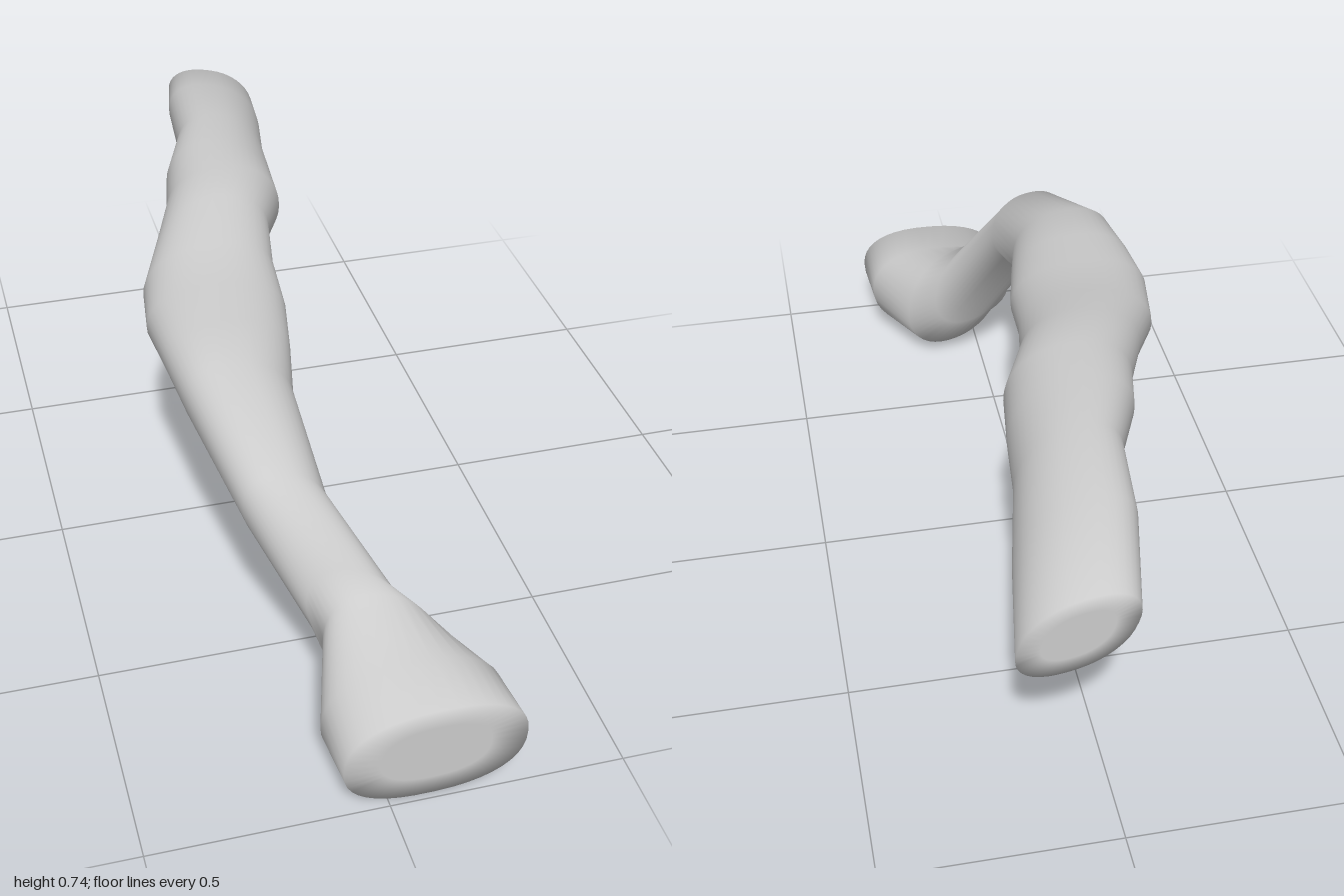
import * as THREE from 'three';

// Cross-sections from front to back: z, left x, right x, bottom y, top y, lean, squareness
const SECTIONS = [
  [1.00, -0.10, 0.28, 0.022, 0.25, 0.08, 0.84],
  [0.87, -0.11, 0.27, 0.005, 0.26, 0.05, 0.9],
  [0.74, -0.07, 0.19, 0.035, 0.335, -0.35, 0.95],
  [0.70, -0.095, 0.12, 0.12, 0.38, -0.4, 0.95],
  [0.60, -0.20, -0.02, 0.375, 0.565, -0.25, 0.9],
  [0.34, -0.26, -0.025, 0.47, 0.66, -0.2, 0.88],
  [0.20, -0.275, 0.005, 0.50, 0.675, -0.12, 0.9],
  [0.07, -0.285, 0.03, 0.50, 0.685, -0.05, 0.92],
  [-0.07, -0.265, 0.038, 0.505, 0.70, 0.1, 0.92],
  [-0.20, -0.205, 0.06, 0.53, 0.742, 0.05, 0.92],
  [-0.33, -0.155, 0.12, 0.522, 0.748, -0.1, 0.92],
  [-0.45, -0.13, 0.135, 0.512, 0.75, -0.2, 0.92],
  [-0.60, -0.07, 0.15, 0.53, 0.747, -0.3, 0.92],
  [-0.80, -0.05, 0.19, 0.52, 0.732, -0.4, 0.92],
  [-1.00, -0.01, 0.222, 0.495, 0.678, -0.45, 0.92],
];
const SIDES = 40;

const soft = (v, power) => Math.sign(v) * Math.abs(v) ** power;

// One leaning, slightly squared oval ring
function ring([z, x0, x1, y0, y1, lean, power], scale = 1) {
  const points = [];
  for (let j = 0; j < SIDES; j++) {
    const t = (j / SIDES) * Math.PI * 2;
    points.push(
      (x0 + x1) / 2 + scale * (x1 - x0) / 2 * soft(Math.cos(t), power),
      (y0 + y1) / 2 + scale * (y1 - y0) / 2 * soft(Math.sin(t + lean), power),
      z
    );
  }
  return points;
}

// Skin the rings, closing both ends with shrinking rings
function loft(sections) {
  const first = sections[0], last = sections[sections.length - 1];
  const rings = [
    ring(first, 0.001), ring(first, 0.6),
    ...sections.map((s) => ring(s)),
    ring(last, 0.6), ring(last, 0.001),
  ];
  const index = [];
  for (let i = 0; i < rings.length - 1; i++) {
    for (let j = 0; j < SIDES; j++) {
      const a = i * SIDES + j, b = i * SIDES + (j + 1) % SIDES;
      const c = a + SIDES, d = b + SIDES;
      index.push(a, c, b, b, c, d);
    }
  }
  const geometry = new THREE.BufferGeometry();
  geometry.setAttribute('position', new THREE.Float32BufferAttribute(rings.flat(), 3));
  geometry.setIndex(index);
  geometry.computeVertexNormals();
  return geometry;
}

export function createModel() {
  const group = new THREE.Group();
  group.name = 'curvedBranch';

  // Swollen front end, steep neck and long arched shaft in one skin
  const material = new THREE.MeshStandardMaterial({ color: 0xcccccc });
  const branch = new THREE.Mesh(loft(SECTIONS), material);
  branch.name = 'branch';
  group.add(branch);
  return group;
}
